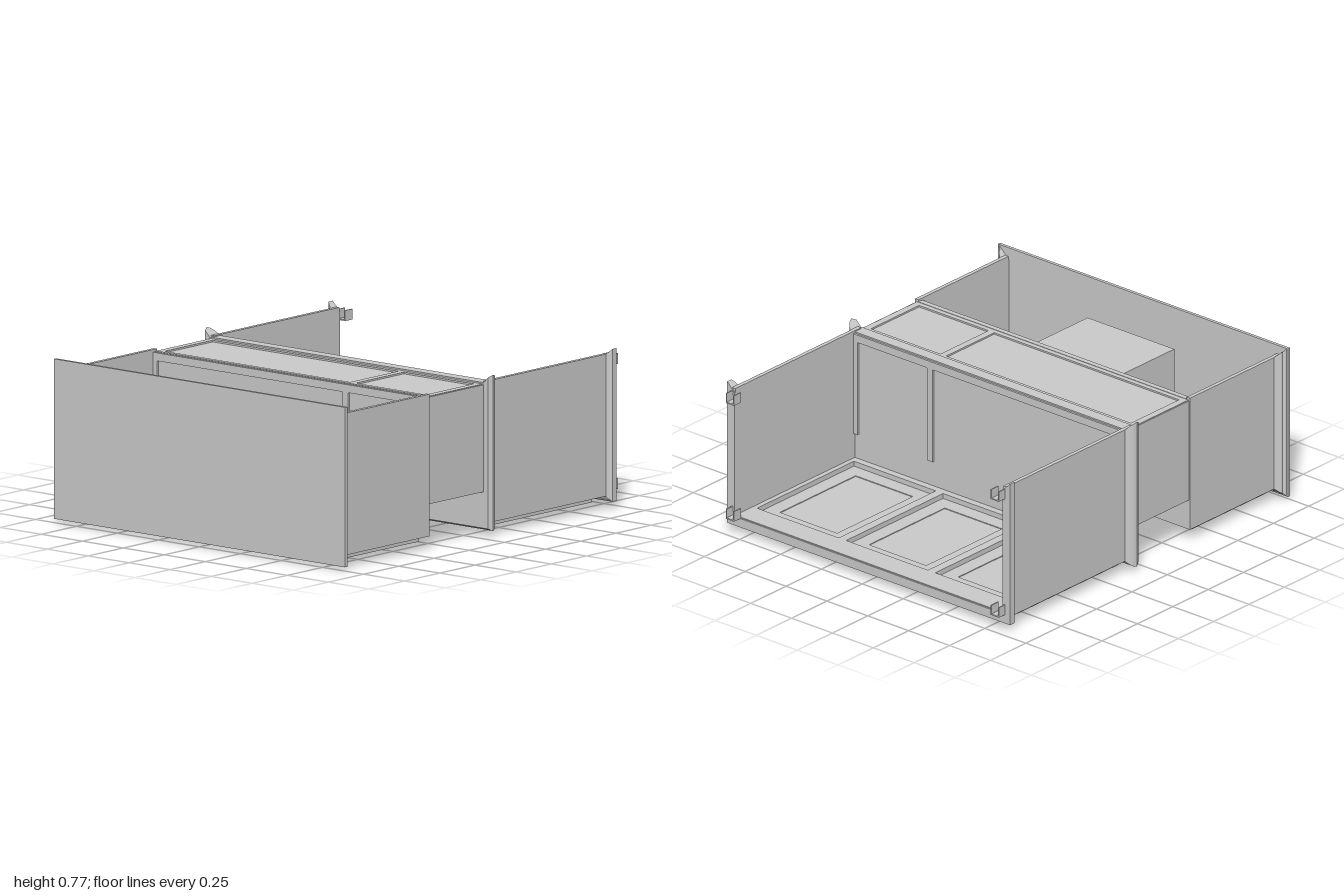
import * as THREE from 'three';

const mat = new THREE.MeshStandardMaterial({ color: 0xcccccc, flatShading: true, side: THREE.DoubleSide });
const X = 0.84, Y0 = 0.06, Y1 = 0.73; // carcass half width, face and back

export function createModel() {
  const root = new THREE.Group();

  function add(name, geometry, parent = root) {
    const mesh = new THREE.Mesh(geometry, mat);
    mesh.name = name;
    parent.add(mesh);
    return mesh;
  }

  // Box given by its limits
  function box(name, x0, x1, y0, y1, z0, z1, parent) {
    const g = new THREE.BoxGeometry(x1 - x0, y1 - y0, z1 - z0);
    g.translate((x0 + x1) / 2, (y0 + y1) / 2, (z0 + z1) / 2);
    return add(name, g, parent);
  }

  // Flat plate in the x-z plane with rectangular holes [x0, x1, z0, z1]
  function plate(name, rect, y0, y1, holes, parent) {
    const corners = ([x0, x1, z0, z1]) =>
      [[x0, z0], [x1, z0], [x1, z1], [x0, z1]].map(p => new THREE.Vector2(...p));
    const shape = new THREE.Shape(corners(rect));
    holes.forEach(h => shape.holes.push(new THREE.Path(corners(h).reverse())));
    const g = new THREE.ExtrudeGeometry(shape, { depth: y1 - y0, bevelEnabled: false });
    g.rotateX(Math.PI / 2);
    g.translate(0, y1, 0);
    return add(name, g, parent);
  }

  const inset = ([x0, x1, z0, z1], d) => [x0 + d, x1 - d, z0 + d, z1 - d];

  // Mitred moulding round both sides and the face; profile points are [outward, z]
  function moulding(name, profile) {
    const n = profile.length, pos = [], idx = [];
    for (const [sx, front] of [[-1, 0], [-1, 1], [1, 1], [1, 0]])
      for (const [o, z] of profile) pos.push(sx * (X + o), front ? Y0 - o : Y1 + o, z);
    for (let s = 0; s < 3; s++)
      for (let i = 0; i < n; i++) {
        const a = s * n + i, b = s * n + (i + 1) % n;
        idx.push(a, b, b + n, a, b + n, a + n);
      }
    const outline = profile.map(p => new THREE.Vector2(...p));
    for (const [a, b, c] of THREE.ShapeUtils.triangulateShape(outline, []))
      idx.push(a, c, b, 3 * n + a, 3 * n + b, 3 * n + c);
    const g = new THREE.BufferGeometry();
    g.setAttribute('position', new THREE.Float32BufferAttribute(pos, 3));
    g.setIndex(idx);
    g.computeVertexNormals();
    return add(name, g);
  }

  // Panelled door: frame, raised bead, sunken panel
  function door(name, rect) {
    const d = new THREE.Group();
    d.name = name;
    root.add(d);
    plate('doorFrame', rect, 0.037, Y0, [inset(rect, 0.09)], d);
    plate('doorBead', inset(rect, 0.07), 0.031, 0.045, [inset(rect, 0.1)], d);
    plate('doorPanel', inset(rect, 0.08), 0.046, 0.056, [], d);
  }

  function knob(x, z) {
    const pts = [[0, 0], [0.016, 0], [0.025, 0.018], [0.025, 0.025], [0.012, 0.028], [0.012, 0.04]];
    const g = new THREE.LatheGeometry(pts.map(p => new THREE.Vector2(...p)), 12);
    g.translate(x, 0, z);
    add('knob', g);
  }

  // Carcass sides
  for (const s of [-1, 1]) {
    const [a, b] = s > 0 ? [X - 0.02, X] : [-X, 0.02 - X];
    box('upperSide', a, b, Y0, Y1, 0.345, 0.98);
    box('lowerSide', a, b, Y0, Y1, -0.95, -0.06);
    const [c, d] = s > 0 ? [0.795, 0.835] : [-0.835, -0.795];
    box('middleSide', c, d, 0.21, 0.715, -0.115, 0.375);
  }

  // Top, counter and upper cabinet floor
  box('topBoard', -0.887, 0.887, 0.018, 0.772, 0.984, 1);
  box('counter', -0.83, 0.83, 0.05, 0.725, -0.105, -0.045);
  box('upperFloor', -0.83, 0.83, Y0, 0.72, 0.345, 0.365);

  // Open middle bay: divider, back and back rails
  box('middleDivider', 0.335, 0.37, 0.21, 0.715, -0.115, 0.375);
  plate('middleBackFrame', [-0.83, 0.83, -0.115, 0.375], 0.68, 0.718,
    [[-0.795, 0.335, -0.02, 0.32], [0.37, 0.795, -0.02, 0.32]]);
  box('middleBack', -0.82, 0.82, 0.685, 0.71, -0.04, 0.34);

  // Mouldings
  moulding('crownMoulding', [[-0.02, 0.94], [0, 0.94], [0.022, 0.963], [0.024, 0.972],
    [0.034, 0.978], [0.042, 0.99], [-0.02, 0.99]]);
  moulding('counterMoulding', [[-0.02, -0.115], [0, -0.115], [0.018, -0.1], [0.028, -0.085],
    [0.033, -0.068], [0.022, -0.045], [-0.02, -0.045]]);
  moulding('baseMoulding', [[-0.02, -0.955], [0.025, -0.955], [0.025, -0.925],
    [0.012, -0.915], [0, -0.91], [-0.02, -0.91]]);

  // Face frames, doors and knobs
  const niche = [-0.26, 0.27, 0.375, 0.905];
  const upperDoors = [[-0.81, -0.275, 0.385, 0.925], [0.285, 0.81, 0.385, 0.925]];
  const lowerDoors = [-0.81, -0.265, 0.28].map(x => [x, x + 0.53, -0.84, -0.125]);
  plate('upperFaceFrame', [-X, X, 0.345, 0.97], Y0, 0.08,
    [niche, ...upperDoors.map(r => inset(r, 0.02))]);
  plate('lowerFaceFrame', [-X, X, -0.95, -0.06], Y0, 0.085, lowerDoors.map(r => inset(r, 0.015)));
  upperDoors.forEach(r => door('upperDoor', r));
  lowerDoors.forEach(r => door('lowerDoor', r));
  for (const x of [-0.31, 0.315]) knob(x, 0.545);
  for (const x of [-0.31, -0.23, 0.315]) knob(x, -0.335);

  // Niche, open at the face
  const [nx0, nx1, nz0, nz1] = niche, t = 0.006;
  plate('nicheWalls', niche, Y0, 0.61, [inset(niche, t)]);
  box('nicheBack', nx0, nx1, 0.604, 0.61, nz0, nz1);

  // Channel-shaped feet
  for (const x of [-0.81, 0.81])
    for (const y of [0.08, 0.67]) {
      const foot = new THREE.Group();
      foot.name = 'foot';
      root.add(foot);
      box('footBase', x - 0.025, x + 0.025, y, y + 0.006, -1, -0.95, foot);
      for (const s of [-1, 1])
        box('footWall', x + s * 0.022 - 0.003, x + s * 0.022 + 0.003, y, y + 0.05, -1, -0.95, foot);
    }

  return root;
}
